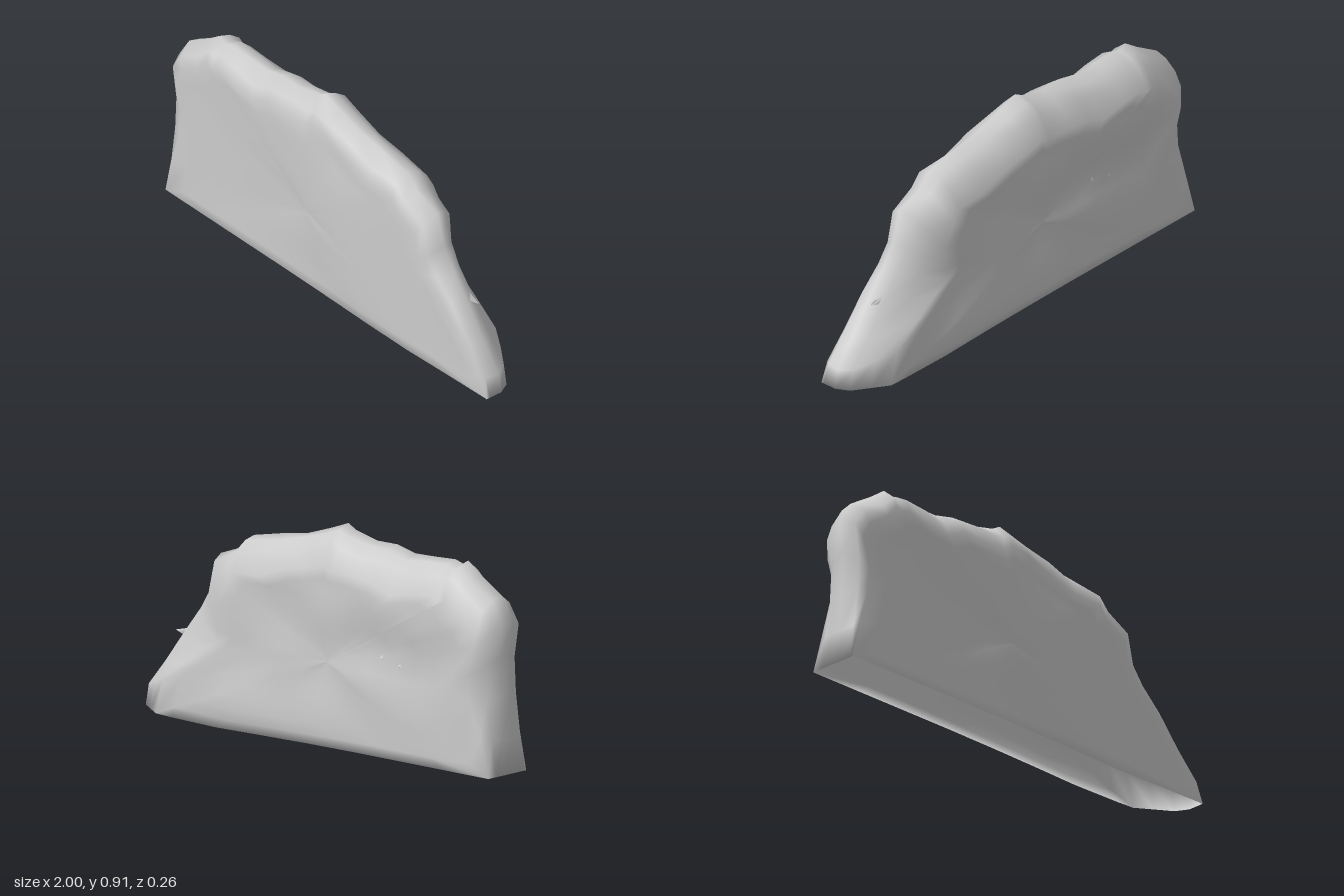
import * as THREE from 'three';

// Outline of the broken slab, counter-clockwise seen from the front
const OUTLINE = [
  [-1, 0.01], [-0.75, 0.01], [-0.5, 0.01], [-0.25, 0.01], [0, 0.008], [0.25, 0.004], [0.5, 0], [0.75, 0.006], [1, 0.01],
  [0.985, 0.09], [0.9, 0.2], [0.8, 0.34], [0.71, 0.45], [0.65, 0.54], [0.61, 0.68], [0.485, 0.73], [0.43, 0.785],
  [0.27, 0.81], [0.13, 0.84], [0, 0.875], [-0.09, 0.905], [-0.13, 0.885], [-0.25, 0.865], [-0.36, 0.86],
  [-0.46, 0.835], [-0.57, 0.845], [-0.68, 0.85], [-0.72, 0.835], [-0.75, 0.85], [-0.82, 0.8], [-0.94, 0.735],
  [-1, 0.645], [-0.985, 0.5], [-0.99, 0.33], [-0.995, 0.15],
];

// Rounded rim from front to back: inset from the outline, depth z
const RIM = [[0.1, 0.121], [0.045, 0.105], [0, 0.045], [0.015, -0.01], [0.055, -0.06], [0.14, -0.106]];
const FACE_SCALES = [0, 0.15, 0.3, 0.45, 0.6, 0.75, 0.88];
const CENTRE = [-0.1, 0.36];
const FLOOR = 0.02;

const clamp = THREE.MathUtils.clamp;
const bump = (x, y, cx, cy, rx, ry = rx) => Math.exp(-(((x - cx) / rx) ** 2) - ((y - cy) / ry) ** 2);
// the left end sits slightly further back
const drift = x => -0.014 * clamp((0.2 - x) / 1.2, 0, 1);

function rimPoint([x, y], [inset, z]) {
  const depth = clamp((0.01 - z) / 0.116, 0, 1);
  // the right end is chamfered towards the back
  const chamfer = 0.17 * depth * clamp((x - 0.5) / 0.35, 0, 1);
  if (y < FLOOR) {
    return [x > 0.95 ? x - chamfer : x, y, z + drift(x)];
  }
  const dx = clamp(x, -0.75, 0.35) - x, dy = 0.3 - y;
  const len = Math.hypot(dx, dy) || 1;
  const amount = inset * clamp(0.05 + y / 0.5, 0, 1) + chamfer;
  const chip = 0.012 * Math.sin(17 * x + 60 * z) * Math.abs(z) / 0.1;
  return [x + dx / len * amount, Math.max(0.03, y + dy / len * amount + chip * y), z + drift(x)];
}

// Weathered relief on the two broad faces
function relief(x, y, side) {
  if (side > 0) {
    return 0.003 * Math.sin(5 * x + 4 * y) + 0.007 * bump(x, y, 0.1, 0.45, 0.5)
      - 0.014 * bump(x, y, 0.08, 0.72, 0.1) - 0.008 * bump(x, y, 0, 0.12, 0.06, 0.12);
  }
  return 0.005 * Math.sin(13 * x + 3) * Math.sin(15 * y) + 0.02 * bump(x, y, 0.3, 0.1, 0.5, 0.12)
    - 0.025 * bump(x, y, -0.45, 0.43, 0.35, 0.1) - 0.01 * bump(x, y, 0.25, 0.55, 0.12)
    + 0.006 * bump(x, y, -0.4, 0.62, 0.3, 0.1);
}

function slabGeometry() {
  const rim = RIM.map(r => OUTLINE.map(p => rimPoint(p, r)));
  const face = (ring, s, side) => ring.map(([x, y, z]) => {
    const px = CENTRE[0] + (x - CENTRE[0]) * s, py = CENTRE[1] + (y - CENTRE[1]) * s;
    return [px, py, z + side * relief(px, py, side)];
  });
  const rings = [
    ...FACE_SCALES.map(s => face(rim[0], s, 1)),
    ...rim,
    ...[...FACE_SCALES].reverse().map(s => face(rim[rim.length - 1], s, -1)),
  ];
  // the hub of each face is a single height
  for (const hub of [rings[0], rings[rings.length - 1]]) {
    const z = hub.reduce((sum, p) => sum + p[2], 0) / hub.length;
    hub.forEach(p => { p[2] = z; });
  }
  const points = rings.flat(), n = OUTLINE.length, all = [], walls = [];
  const addFace = (...corners) => {
    all.push(...corners);
    if (corners.some(i => points[i][1] > FLOOR)) walls.push(...corners);
  };
  for (let k = 0; k < rings.length - 1; k++) {
    for (let j = 0; j < n; j++) {
      const a = k * n + j, b = k * n + (j + 1) % n, c = a + n, d = b + n;
      if (k < rings.length - 2) addFace(a, c, d);
      if (k > 0) addFace(a, d, b);
    }
  }
  const geometry = new THREE.BufferGeometry();
  geometry.setAttribute('position', new THREE.Float32BufferAttribute(points.flat(), 3));
  // smooth normals roll under the lower edge, while the underside itself stays open
  geometry.setIndex(all);
  geometry.computeVertexNormals();
  geometry.setIndex(walls);
  return geometry;
}

export function createModel() {
  const group = new THREE.Group();
  group.name = 'brokenSlab';
  const material = new THREE.MeshStandardMaterial({ color: 0xcccccc, side: THREE.DoubleSide });

  const slab = new THREE.Mesh(slabGeometry(), material);
  slab.name = 'slab';
  group.add(slab);

  // Small splinters: on the sloping end and in the hollow at the back
  const splinters = [
    ['endSplinter', 0.79, 0.338, 0.012, 0.022, 0.075, 0, -Math.PI / 2],
    ['backSplinter', -0.4, 0.42, -0.095, 0.03, 0.04, -Math.PI / 2, 0],
    ['backSplinter', -0.5, 0.4, -0.095, 0.03, 0.035, -Math.PI / 2, 0],
  ];
  for (const [name, x, y, z, radius, length, rx, rz] of splinters) {
    const mesh = new THREE.Mesh(new THREE.ConeGeometry(radius, length, 3), material);
    mesh.name = name;
    mesh.position.set(x, y, z);
    mesh.rotation.set(rx, 0, rz);
    group.add(mesh);
  }
  return group;
}
